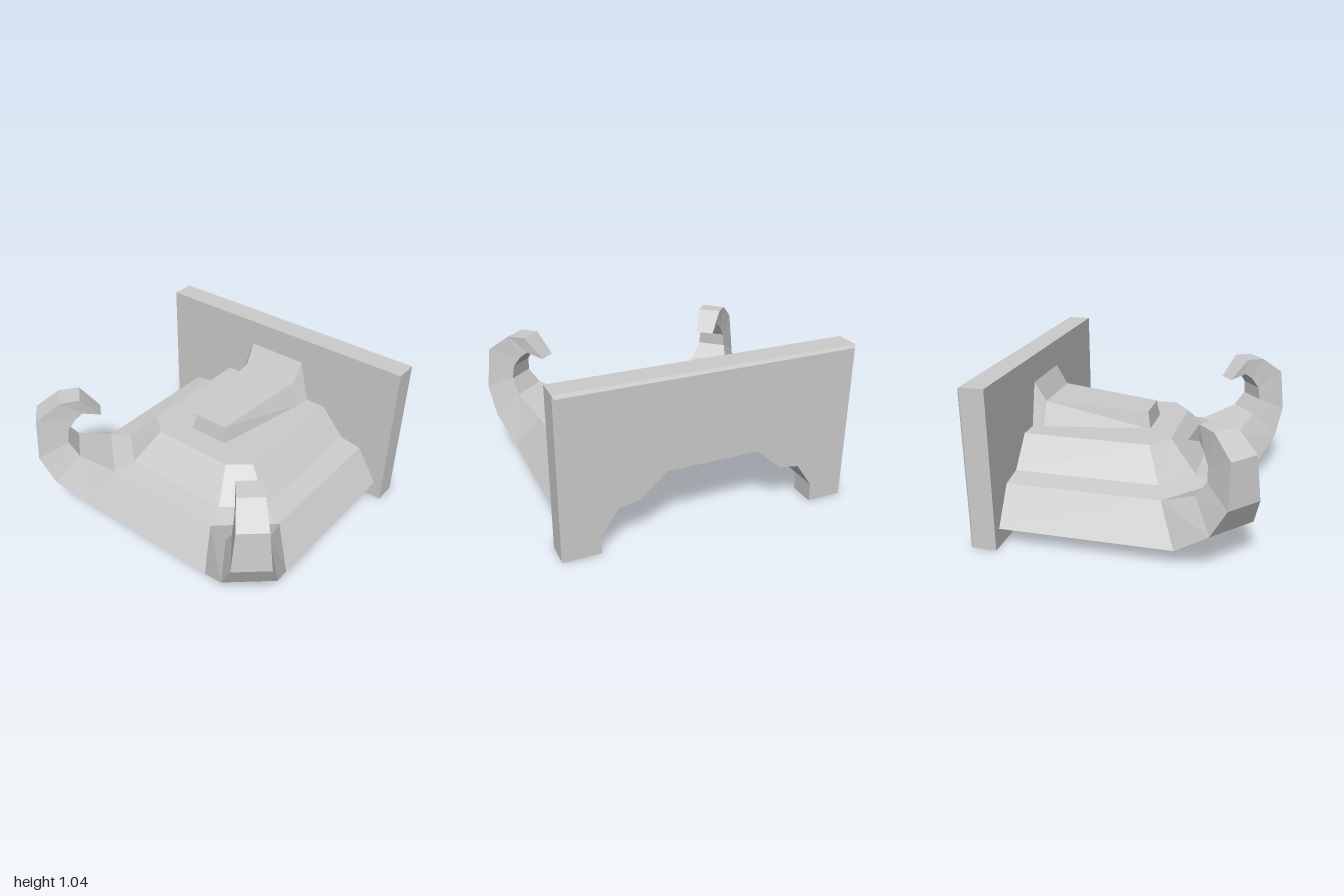
import * as THREE from 'three';

const material = new THREE.MeshStandardMaterial({ color: 0xcccccc, flatShading: true });

function named(geometry, name) {
  const mesh = new THREE.Mesh(geometry, material);
  mesh.name = name;
  return mesh;
}

// Skins a list of cross-sections (arrays of Vector3) with flat faces.
function loft(rings, { closed = false, capStart = false, capEnd = false } = {}) {
  const pos = [];
  const tri = (a, b, c) => {
    if (new THREE.Triangle(a, b, c).getArea() < 1e-7) return;
    for (const p of [a, b, c]) pos.push(p.x, p.y, p.z);
  };
  for (let r = 0; r < rings.length - 1; r++) {
    const a = rings[r], b = rings[r + 1], n = a.length;
    for (let i = 0; i < (closed ? n : n - 1); i++) {
      const j = (i + 1) % n;
      tri(a[i], a[j], b[j]);
      tri(a[i], b[j], b[i]);
    }
  }
  const cap = (ring, flip) => {
    for (let i = 1; i < ring.length - 1; i++) {
      if (flip) tri(ring[0], ring[i + 1], ring[i]);
      else tri(ring[0], ring[i], ring[i + 1]);
    }
  };
  if (capStart) cap(rings[0], true);
  if (capEnd) cap(rings[rings.length - 1], false);
  const geometry = new THREE.BufferGeometry();
  geometry.setAttribute('position', new THREE.Float32BufferAttribute(pos, 3));
  geometry.computeVertexNormals();
  return geometry;
}

const V = (x, y, z) => new THREE.Vector3(x, y, z);

// Wall plate with a stepped opening, slightly bevelled on its outer face
function createWall() {
  const half = [[0.95, 1.04], [0.95, 0], [0.71, 0], [0.71, 0.12], [0.6, 0.28], [0.47, 0.3], [0.3, 0.45]];
  const outline = [...half, ...half.map(([z, y]) => [-z, y]).reverse()];
  const shape = new THREE.Shape(outline.map(([z, y]) => new THREE.Vector2(z, y)));
  const geometry = new THREE.ExtrudeGeometry(shape, { depth: 1, steps: 2, bevelEnabled: false });
  geometry.rotateY(-Math.PI / 2);
  const p = geometry.attributes.position;
  for (let i = 0; i < p.count; i++) {
    const layer = Math.round(-2 * p.getX(i));
    p.setX(i, [0.873, 0.86, 0.705][layer]);
    if (layer === 0) {
      if (Math.abs(p.getZ(i)) > 0.9) p.setZ(i, Math.sign(p.getZ(i)) * 0.94);
      if (p.getY(i) > 1) p.setY(i, 1.02);
    }
  }
  geometry.computeVertexNormals();
  return named(geometry, 'wallPlate');
}

// Roof shell: inner vault, eave rim, then outer tiers, with cut corners
function createRoof() {
  // y, half width, x of corner cut, front x, half width of front edge
  const tiers = [
    [0.45, 0.3, -0.08, -0.18, 0.2],
    [0.3, 0.47, -0.18, -0.4, 0.34],
    [0.28, 0.6, -0.21, -0.43, 0.37],
    [0.12, 0.71, -0.27, -0.55, 0.43],
    [0.12, 0.89, -0.39, -0.72, 0.5],
    [0.36, 0.74, -0.28, -0.57, 0.42],
    [0.385, 0.59, -0.23, -0.42, 0.37],
    [0.575, 0.42, -0.13, -0.24, 0.28],
  ];
  const rings = tiers.map(([y, z, xc, xf, zf]) => [
    V(0.71, y, -z), V(xc, y, -z), V(xf, y, -zf), V(xf, y, zf), V(xc, y, z), V(0.71, y, z),
  ]);
  return named(loft(rings, { capStart: true, capEnd: true }), 'roof');
}

// Upturned horn curling out of a cut corner and back over itself
function createHorn(side) {
  // outer reach, height, half width; then the same for the inner edge
  const sections = [
    [0.875, 0.12, 0.255, 0.7, 0.36, 0.216],
    [1.096, 0.28, 0.167, 0.92, 0.46, 0.13],
    [1.19, 0.465, 0.12, 0.984, 0.56, 0.1],
    [1.173, 0.745, 0.095, 0.975, 0.65, 0.09],
    [1.01, 0.862, 0.083, 0.92, 0.725, 0.08],
    [0.876, 0.87, 0.08, 0.868, 0.762, 0.07],
    [0.751, 0.73, 0.06, 0.751, 0.73, 0.06],
  ];
  const at = (s, y, w) => V(-0.75 * s + 0.66 * (0.155 + w), y, side * (0.66 * s + 0.75 * (0.155 + w)));
  const rings = sections.map(([so, yo, wo, si, yi, wi]) => {
    const ring = [at(so, yo, -wo), at(so, yo, wo), at(si, yi, wi), at(si, yi, -wi)];
    return side > 0 ? ring : ring.reverse();
  });
  return named(loft(rings, { closed: true }), side > 0 ? 'frontHorn' : 'backHorn');
}

// Widening ridge that climbs to the wall
function createRidge() {
  // base x, base half width, top x, top y, top half width
  const sections = [
    [-0.07, 0.14, -0.05, 0.685, 0.12],
    [0.63, 0.272, 0.63, 0.73, 0.205],
    [0.72, 0.288, 0.72, 0.885, 0.21],
  ];
  const rings = sections.map(([xb, zb, xt, yt, zt]) => [
    V(xb, 0.57, zb), V(xt, yt, zt), V(xt, yt, -zt), V(xb, 0.57, -zb),
  ].reverse());
  return named(loft(rings, { closed: true, capStart: true, capEnd: true }), 'ridge');
}

export function createModel() {
  const model = new THREE.Group();
  model.name = 'hornedRoof';
  model.add(createWall(), createRoof(), createRidge(), createHorn(1), createHorn(-1));
  return model;
}
